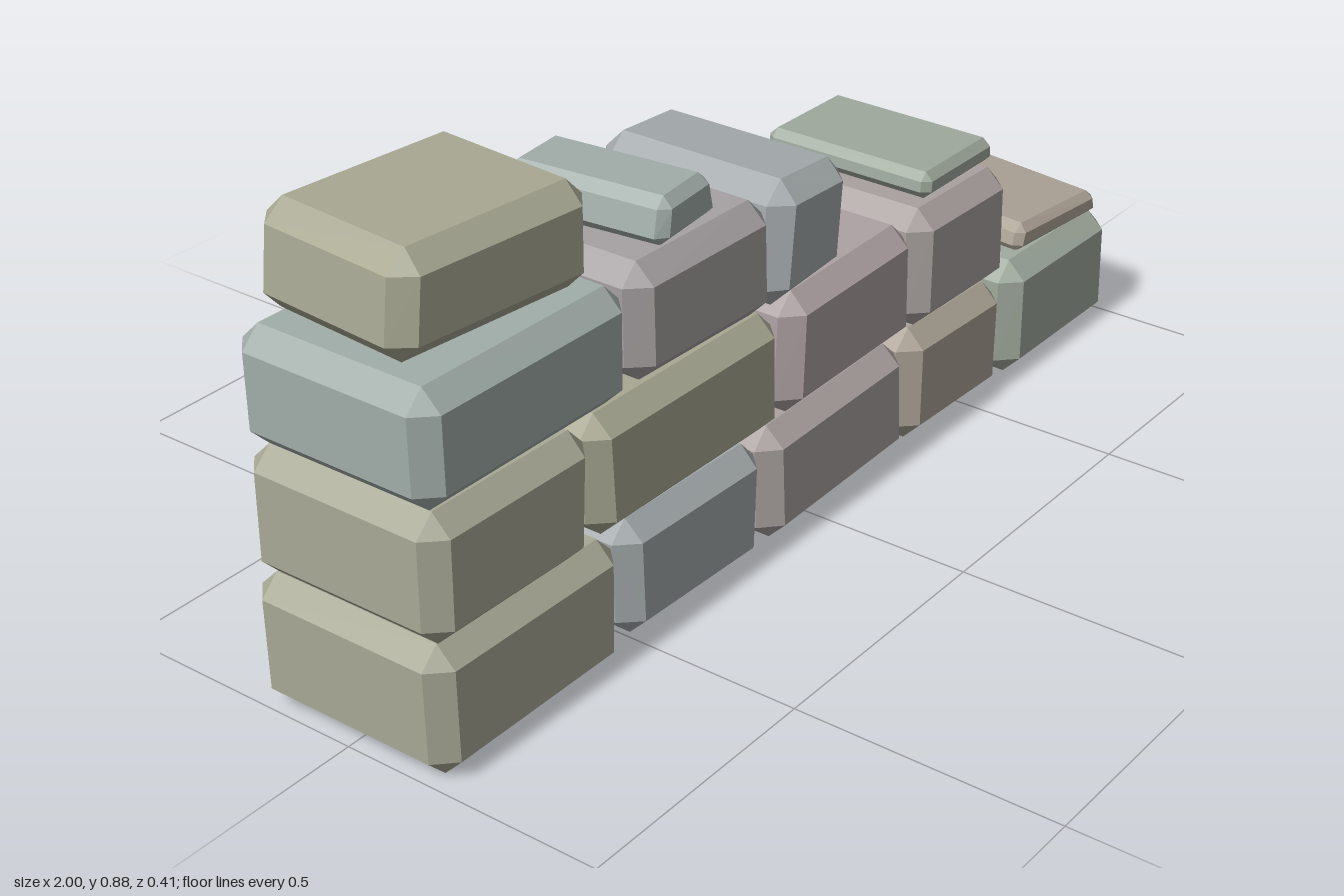
import * as THREE from 'three';
import { ConvexGeometry } from 'three/addons/geometries/ConvexGeometry.js';

const BEIGE = 0xa9a997, OLIVE = 0xa8a893, BLUE = 0xa3a9ab, MAUVE = 0xaaa2a0, TAN = 0xaba295;
const GREEN = 0xa1ab9f, PINK = 0xaca0a2, TEAL = 0xa2aeaa, GREY = 0xa7a2a3;

// Chamfered block: q = front outline [x,y] at bottom left, bottom right, top right, top left
function stone(name, color, q, z0, z1, yaw = 0, cut = 0.036, lean = 0) {
  const [bl, br, tr, tl] = q;
  const cx = (bl[0] + br[0] + tr[0] + tl[0]) / 4, cz = (z0 + z1) / 2;
  const w = (br[0] - bl[0] + tr[0] - tl[0]) / 2;
  const h = (tl[1] - bl[1] + tr[1] - br[1]) / 2;
  const d = z1 - z0;
  const pts = [];
  for (const sx of [0, 1]) for (const sy of [0, 1]) for (const sz of [0, 1]) {
    // each corner becomes three points, one on each adjoining face
    for (let face = 0; face < 3; face++) {
      const inset = (s, size, axis) => {
        const t = face === axis ? 0 : cut / size;
        return s ? 1 - t : t;
      };
      const u = inset(sx, w, 0), v = inset(sy, h, 1), k = inset(sz, d, 2);
      const mix = (i) => (1 - v) * ((1 - u) * bl[i] + u * br[i]) + v * ((1 - u) * tl[i] + u * tr[i]);
      pts.push(new THREE.Vector3(mix(0) - cx, mix(1) + lean * (k - 0.5), (k - 0.5) * d));
    }
  }
  const mesh = new THREE.Mesh(new ConvexGeometry(pts),
    new THREE.MeshStandardMaterial({ color, flatShading: true }));
  mesh.name = name;
  mesh.position.set(cx, 0, cz);
  mesh.rotation.y = yaw;
  return mesh;
}

export function createModel() {
  const wall = new THREE.Group();
  wall.name = 'steppedStoneWall';

  // Bottom course
  wall.add(
    stone('bottomStone1', BEIGE, [[-0.995, 0.003], [-0.555, 0.003], [-0.548, 0.238], [-1, 0.245]], -0.205, 0.203),
    stone('bottomStone2', BLUE, [[-0.535, 0.015], [-0.17, 0.005], [-0.155, 0.23], [-0.545, 0.24]], -0.198, 0.2),
    stone('bottomStone3', MAUVE, [[-0.145, 0.003], [0.285, 0.015], [0.275, 0.24], [-0.155, 0.232]], -0.2, 0.2),
    stone('bottomStone4', TAN, [[0.28, 0.01], [0.605, 0.003], [0.612, 0.228], [0.285, 0.238]], -0.198, 0.2),
    stone('bottomStone5', GREEN, [[0.622, 0.003], [0.997, 0.005], [0.993, 0.238], [0.625, 0.243]], -0.206, 0.207),
  );

  // Second course
  wall.add(
    stone('secondStone1', BEIGE, [[-0.995, 0.243], [-0.625, 0.237], [-0.61, 0.468], [-0.995, 0.475]], -0.203, 0.203),
    stone('secondStone2', OLIVE, [[-0.605, 0.24], [-0.108, 0.235], [-0.11, 0.462], [-0.618, 0.468]], -0.203, 0.2),
    stone('secondStone3', PINK, [[-0.1, 0.235], [0.297, 0.242], [0.292, 0.472], [-0.085, 0.465]], -0.203, 0.2),
    stone('secondStone4', MAUVE, [[0.297, 0.24], [0.61, 0.235], [0.607, 0.47], [0.302, 0.475]], -0.2, 0.203),
  );

  // Third course
  wall.add(
    stone('thirdStone1', TEAL, [[-0.995, 0.476], [-0.515, 0.472], [-0.512, 0.678], [-0.998, 0.685]], -0.203, 0.2),
    stone('thirdStone2', GREY, [[-0.505, 0.48], [-0.135, 0.47], [-0.142, 0.685], [-0.508, 0.692]], -0.2, 0.203),
    stone('thirdStone3', BLUE, [[-0.15, 0.463], [0.062, 0.48], [0.083, 0.68], [-0.122, 0.692]], -0.203, 0.203),
  );

  // Top stone
  wall.add(stone('topStone', OLIVE,
    [[-0.97, 0.7], [-0.555, 0.69], [-0.555, 0.872], [-0.95, 0.879]], -0.175, 0.16, -0.08, 0.035));

  // Thin loose cap slabs, turned slightly on the steps
  wall.add(
    stone('upperSlab', TEAL, [[-0.44, 0.69], [-0.255, 0.685], [-0.28, 0.768], [-0.42, 0.772]], -0.138, 0.168, 0.13, 0.018, -0.006),
    stone('middleSlab', GREEN, [[0.347, 0.485], [0.6, 0.472], [0.597, 0.522], [0.353, 0.535]], -0.182, 0.165, 0.06, 0.015, -0.012),
    stone('lowerSlab', TAN, [[0.702, 0.244], [0.985, 0.238], [0.972, 0.288], [0.72, 0.3]], -0.158, 0.178, -0.06, 0.015, -0.014),
  );
  return wall;
}
